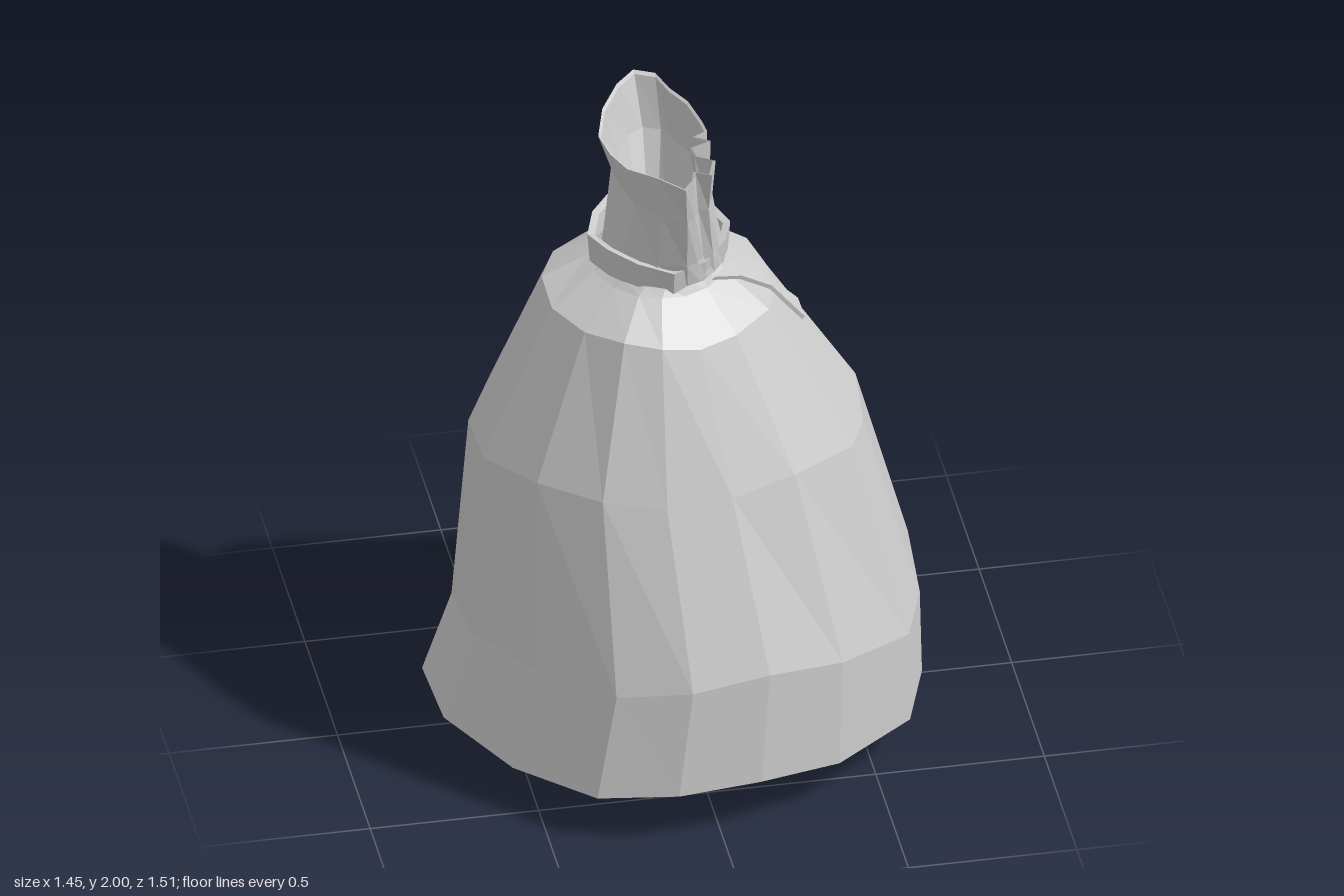
import * as THREE from 'three';

const material = () => new THREE.MeshStandardMaterial({ color: 0xcccccc, flatShading: true, side: THREE.DoubleSide });

// Skin a list of closed rings of [x, y, z] points; a one-point ring closes an end.
function loft(name, rings) {
  const pos = [];
  const n = Math.max(...rings.map(r => r.length));
  const at = (r, j) => r[j % r.length];
  for (let i = 0; i < rings.length - 1; i++) {
    const lo = rings[i], hi = rings[i + 1];
    for (let j = 0; j < n; j++) {
      const a = at(lo, j), b = at(lo, j + 1), c = at(hi, j), d = at(hi, j + 1);
      if (hi.length > 1) pos.push(...a, ...c, ...d);
      if (lo.length > 1) pos.push(...a, ...d, ...b);
    }
  }
  const geo = new THREE.BufferGeometry();
  geo.setAttribute('position', new THREE.Float32BufferAttribute(pos, 3));
  geo.computeVertexNormals();
  const mesh = new THREE.Mesh(geo, material());
  mesh.name = name;
  return mesh;
}

// Uneven footprint of the sack, as [x, z]
const FOOT = [
  [0.725, -0.12], [0.7, 0.2], [0.62, 0.43], [0.37, 0.635], [0.12, 0.725], [-0.13, 0.755],
  [-0.36, 0.685], [-0.57, 0.47], [-0.72, 0.18], [-0.73, -0.1], [-0.6, -0.37], [-0.39, -0.58],
  [-0.17, -0.71], [0.04, -0.76], [0.25, -0.71], [0.46, -0.58], [0.645, -0.38]
];

// Footprint fitted to x and z limits; wy ripples its height, dx and dz tilt it, bow lifts front and back.
function sackRing(y, [x0, x1, z0, z1], { wy = 0, dx = 0, dz = 0, bow = 0 } = {}) {
  return FOOT.map(([fx, fz], j) => {
    const u = fx / 0.73, v = fz / 0.76;
    return [
      (x0 + x1) / 2 + u * (x1 - x0) / 2,
      y + wy * Math.sin(j * 1.7 + y * 3) + dx * u + dz * v + bow * v * v,
      (z0 + z1) / 2 + v * (z1 - z0) / 2
    ];
  });
}

export function createModel() {
  const group = new THREE.Group();

  // Sagging sack body, from the slumped underside up to the tied neck
  group.add(loft('sackBody', [
    [[0, 0.035, 0]],
    sackRing(0.024, [-0.38, 0.42, -0.53, 0.4], { dx: -0.016, dz: 0.016 }),
    sackRing(0.07, [-0.55, 0.56, -0.65, 0.6], { wy: 0.008, dx: -0.012, dz: 0.008 }),
    sackRing(0.135, [-0.73, 0.725, -0.76, 0.76], { wy: 0.012, dz: -0.015, bow: 0.045 }),
    sackRing(0.41, [-0.645, 0.717, -0.715, 0.73], { wy: 0.02, bow: 0.1 }),
    sackRing(1.02, [-0.6, 0.555, -0.525, 0.54], { wy: 0.015, bow: 0.02 }),
    sackRing(1.47, [-0.385, 0.29, -0.375, 0.37], { wy: 0.015, dx: -0.015 }),
    sackRing(1.56, [-0.25, 0.16, -0.25, 0.23], { wy: 0.005 }),
    sackRing(1.585, [-0.21, 0.14, -0.22, 0.21])
  ]));

  // Gathered neck: smooth on its flat sides, deeply pleated at one corner
  const mouth = [
    [0.085, -0.02], [0.09, 0.03], [0.045, 0.055], [0.09, 0.085], [0.03, 0.11], [0.035, 0.16], [0.085, 0.19],
    [0.06, 0.265], [0.015, 0.24], [0, 0.29], [-0.03, 0.33], [-0.1, 0.25], [-0.17, 0.15], [-0.2, 0.05],
    [-0.215, -0.06], [-0.18, -0.18], [-0.12, -0.27], [-0.06, -0.325], [0, -0.295], [0.025, -0.21], [0.065, -0.13]
  ];
  // t blends an ellipse (0) of half sizes rx, rz into the mouth outline (1), shrunk by scale
  const neckRing = (y, t, rx, rz, cx, scale = 1) => mouth.map(([x, z]) => {
    const a = Math.atan2(z / 0.32, (x + 0.06) / 0.15);
    return [
      THREE.MathUtils.lerp(cx + rx * Math.cos(a), -0.06 + (x + 0.06) * scale, t),
      y - (y > 1.9 ? Math.max(0, -x - 0.1) * 0.35 : 0),
      THREE.MathUtils.lerp(rz * Math.sin(a), z * scale, t)
    ];
  });
  group.add(loft('gatheredNeck', [
    neckRing(1.585, 0, 0.18, 0.21, -0.035),
    neckRing(1.66, 0.25, 0.17, 0.19, -0.03),
    neckRing(1.85, 0.5, 0.12, 0.23, -0.025),
    neckRing(2, 1, 0.15, 0.32, -0.06),
    neckRing(1.995, 1, 0.15, 0.32, -0.06, 0.95),
    neckRing(1.84, 0.5, 0.11, 0.215, -0.03, 0.93),
    neckRing(1.64, 0.15, 0.065, 0.13, -0.05, 0.6),
    [[-0.05, 1.6, 0]]
  ]));

  // Tie band: a slightly flaring cloth strip, pinched towards its corners
  const bandRing = (y, rx, rz) => Array.from({ length: 12 }, (_, j) => {
    const a = j * Math.PI / 6;
    const pinch = 1 - 0.06 * Math.sin(2 * a) ** 2;
    return [
      -0.045 + rx * pinch * Math.cos(a),
      y + 0.012 * Math.sin(j * 1.7) - 0.008 * Math.cos(a),
      -0.01 + rz * pinch * Math.sin(a)
    ];
  });
  group.add(loft('tieBand', [
    bandRing(1.56, 0.205, 0.225),
    bandRing(1.655, 0.212, 0.24),
    bandRing(1.65, 0.19, 0.215)
  ]));

  // Loose end of the tie, draped down the shoulder
  const strip = [
    [[0.08, 1.6, 0.2], [0.1, 1.56, 0.13]],
    [[0.17, 1.56, 0.15], [0.16, 1.57, 0.07]],
    [[0.27, 1.48, 0.1], [0.25, 1.51, 0.045]],
    [[0.31, 1.43, 0.1], [0.3, 1.45, 0.05]],
    [[0.37, 1.35, 0.085], [0.36, 1.38, 0.03]]
  ];
  group.add(loft('tieTail', strip.map(([p, q]) => [
    p, q, [q[0] - 0.008, q[1] - 0.01, q[2]], [p[0] - 0.008, p[1] - 0.01, p[2]]
  ])));

  return group;
}
